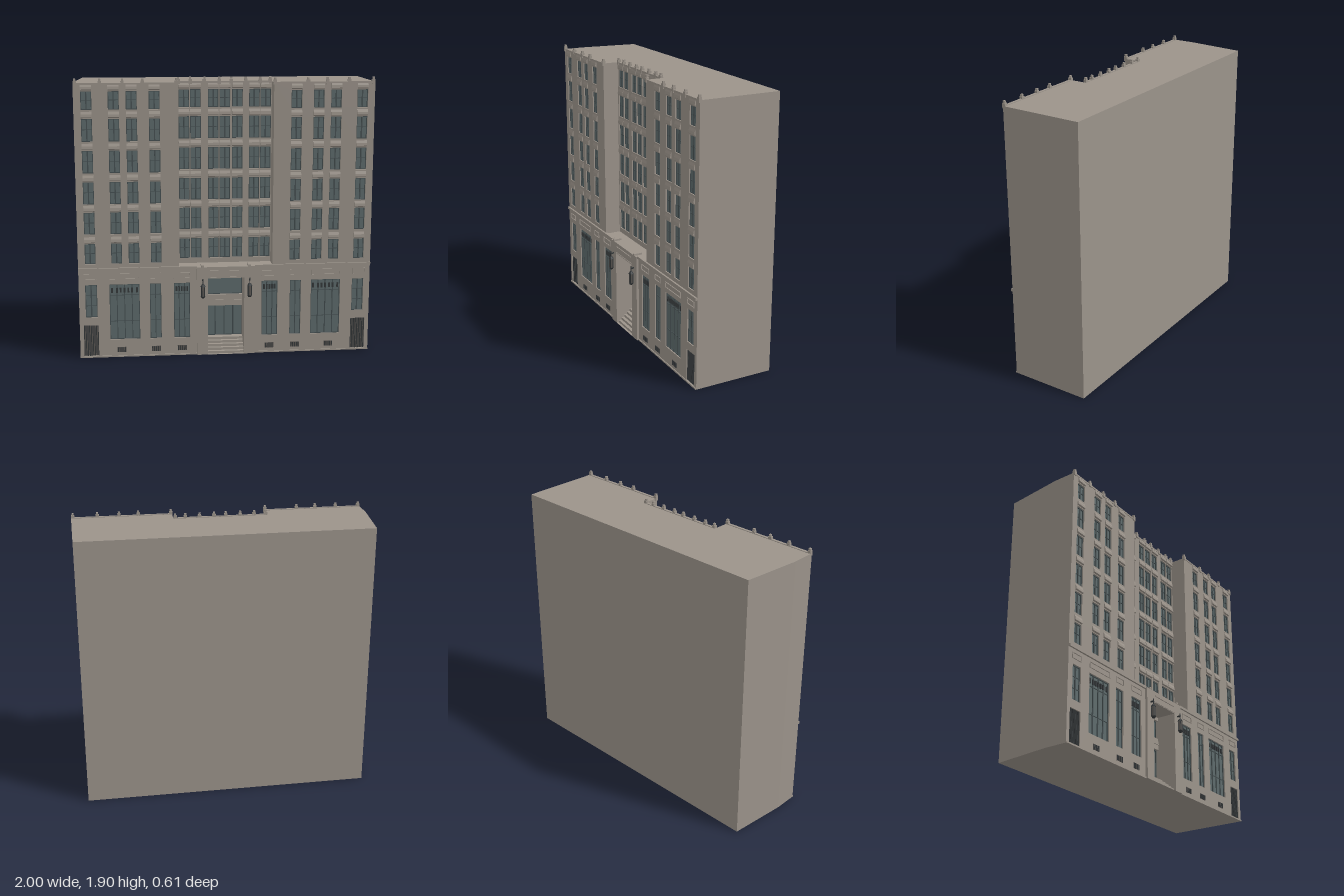
import * as THREE from 'three';
import { mergeGeometries } from 'three/addons/utils/BufferGeometryUtils.js';

const mat = (name, color) => Object.assign(new THREE.MeshStandardMaterial({ color }), { name });

export function createModel() {
  const model = new THREE.Group();
  model.name = 'officeBuilding';
  const stone = mat('stone', 0x9b938a);
  const glass = mat('glass', 0x5d6a6b);
  const frame = mat('windowFrame', 0x465052);
  const iron = mat('iron', 0x34383a);
  const grille = mat('grille', 0x5b5753);

  const add = (name, geometry, material) => {
    const mesh = new THREE.Mesh(geometry, material);
    mesh.name = name;
    model.add(mesh);
    return mesh;
  };
  // Box given by its lower and upper limits on each axis
  const box = (x0, x1, y0, y1, z0, z1) =>
    new THREE.BoxGeometry(x1 - x0, y1 - y0, z1 - z0)
      .translate((x0 + x1) / 2, (y0 + y1) / 2, (z0 + z1) / 2);
  const boxes = (name, list, material) =>
    add(name, mergeGeometries(list.map((b) => box(...b))), material);
  const rectPoints = ([x0, x1, y0, y1]) =>
    [[x0, y0], [x1, y0], [x1, y1], [x0, y1]].map((p) => new THREE.Vector2(...p));

  const TOP = 1.87, MID = 0.625, FRONT = 0.25, INNER = 0.14, SKIN = 0.02;

  // Building mass: footprints extruded upwards, with a notch in the front
  function mass(name, notchX, notchZ, y0, y1) {
    const f = FRONT - SKIN;
    const outline = [[-0.96, -0.305], [1, -0.305], [1, f], [notchX, f], [notchX, notchZ],
      [-notchX, notchZ], [-notchX, f], [-1, f], [-1, 0.09]];
    const shape = new THREE.Shape(outline.map(([x, z]) => new THREE.Vector2(x, -z)));
    const geo = new THREE.ExtrudeGeometry(shape, { depth: y1 - y0, bevelEnabled: false });
    add(name, geo.rotateX(-Math.PI / 2).translate(0, y0, 0), stone);
  }
  mass('lowerMass', 0.125, 0.1, 0, MID);
  mass('upperMass', 0.32, INNER - SKIN, MID, TOP);

  // Wall skin with window openings
  function wall(name, rect, holes, z, depth = SKIN) {
    const shape = new THREE.Shape(rectPoints(rect));
    shape.holes = holes.map((h) => new THREE.Path(rectPoints(h)));
    const geo = new THREE.ExtrudeGeometry(shape, { depth, bevelEnabled: false });
    add(name, geo.translate(0, 0, z - depth), stone);
  }

  // Glazing behind the openings: panes, outer frame and glazing bars
  function glaze(name, openings, z, cols, rowCuts, thick = 0.008) {
    const panes = [], bars = [];
    const t = 0.005, zb = z - 0.018, zf = z - 0.008;
    for (const [x0, x1, y0, y1] of openings) {
      panes.push([x0, x1, y0, y1, z - 0.0195, z - 0.015]);
      bars.push([x0, x0 + t, y0, y1, zb, zf], [x1 - t, x1, y0, y1, zb, zf],
        [x0, x1, y0, y0 + t, zb, zf], [x0, x1, y1 - t, y1, zb, zf]);
      for (let i = 1; i < cols; i++) {
        const x = x0 + ((x1 - x0) * i) / cols;
        bars.push([x - thick / 2, x + thick / 2, y0, y1, zb, zf]);
      }
      for (const cut of rowCuts) {
        const y = y0 + (y1 - y0) * cut;
        bars.push([x0, x1, y - 0.002, y + 0.002, zb, zf - 0.002]);
      }
    }
    boxes(name + 'Glass', panes, glass);
    boxes(name + 'Frames', bars, frame);
  }

  // Sloping hoods over the upper windows
  function hoods(name, openings, z) {
    add(name, mergeGeometries(openings.map(([x0, x1, , y1]) => {
      const profile = new THREE.Shape([[0, 0.006], [0.009, 0.012], [0.007, 0.03], [0, 0.048]]
        .map((p) => new THREE.Vector2(...p)));
      const geo = new THREE.ExtrudeGeometry(profile, { depth: x1 - x0, bevelEnabled: false });
      return geo.rotateY(-Math.PI / 2).scale(1, 1, 1).translate(x1, y1, z);
    })), stone);
  }

  // Upper storeys
  const rows = [[0.66, 0.8], [0.865, 1.015], [1.07, 1.22], [1.28, 1.43], [1.49, 1.64], [1.7, 1.82]];
  const grid = (centres) => centres.flatMap((x) =>
    rows.map(([y0, y1]) => [x - 0.036, x + 0.036, y0, y1]));
  const wing = [0.473, 0.623, 0.74, 0.917];
  const sections = [
    ['leftWing', [0.32, 1], grid(wing), FRONT],
    ['rightWing', [-1, -0.32], grid(wing.map((x) => -x)), FRONT],
    ['centreBay', [-0.32, 0.32], grid([-0.273, -0.195, -0.075, 0.003, 0.088, 0.203, 0.28]), INNER],
  ];
  for (const [name, [x0, x1], openings, z] of sections) {
    wall(name + 'Wall', [x0, x1, MID, TOP], openings, z);
    glaze(name, openings, z, 2, [0.52]);
    hoods(name + 'Hoods', openings, z);
    boxes(name + 'Coping', [[x0, x1, TOP - 0.008, TOP + 0.004, z - 0.015, z + 0.004]], stone);
  }

  // Ground floor windows, panels, vents and service doors
  const mirror = (list, s) => list.map(([a, b, ...r]) => (s > 0 ? [a, b, ...r] : [-b, -a, ...r]));
  for (const s of [1, -1]) {
    const side = s > 0 ? 'left' : 'right';
    const small = mirror([[0.877, 0.957, 0.286, 0.515]], s);
    const large = mirror([[0.59, 0.794, 0.125, 0.515]], s);
    const narrow = mirror([[0.443, 0.52, 0.125, 0.515]], s);
    const medium = mirror([[0.247, 0.357, 0.125, 0.515]], s);
    const door = mirror([[0.873, 0.973, 0.01, 0.23]], s);
    wall(side + 'ShopWall', mirror([[0.2, 1, 0, MID]], s)[0],
      [...small, ...large, ...narrow, ...medium, ...door], FRONT);
    glaze(side + 'SmallWindow', small, FRONT, 2, [0.35, 0.68]);
    glaze(side + 'LargeWindow', large, FRONT, 4, [0.33, 0.8], 0.006);
    glaze(side + 'NarrowWindow', narrow, FRONT, 2, [0.33, 0.8], 0.005);
    glaze(side + 'MediumWindow', medium, FRONT, 3, [0.33, 0.8], 0.006);

    // Ornaments below the window heads
    const ornaments = [0.607, 0.641, 0.666, 0.692, 0.718, 0.743, 0.777, 0.265, 0.284, 0.302, 0.32, 0.339]
      .map((x) => [x - 0.006, x + 0.006, 0.455, 0.488, 0.234, 0.244]);
    boxes(side + 'WindowOrnaments', mirror(ornaments, s), iron);

    // Barred service door
    const [d] = door;
    boxes(side + 'ServiceDoor', [[...d, 0.231, 0.236]], grille);
    const bars = [];
    for (let i = 0; i <= 8; i++) {
      const x = d[0] + 0.003 + i * 0.01175;
      bars.push([x - 0.003, x + 0.003, 0.01, 0.23, 0.236, 0.244]);
    }
    boxes(side + 'DoorBars', bars, iron);

    // Relief panels with a raised border
    const panels = mirror([[0.877, 0.965], [0.59, 0.794], [0.443, 0.52], [0.247, 0.357]], s);
    boxes(side + 'ReliefPanels', panels.flatMap(([a, b]) => [
      [a, b, 0.55, 0.554, FRONT, 0.256], [a, b, 0.586, 0.59, FRONT, 0.256],
      [a, a + 0.004, 0.554, 0.586, FRONT, 0.256], [b - 0.004, b, 0.554, 0.586, FRONT, 0.256],
    ]), stone);

    // Basement vents
    const vents = mirror([[0.687, 0.748], [0.449, 0.513], [0.27, 0.334]], s);
    boxes(side + 'Vents', vents.map(([a, b]) => [a, b, 0.033, 0.07, 0.249, 0.252]), grille);
    boxes(side + 'VentBars', vents.flatMap(([a, b]) => [0, 1, 2, 3, 4].map((i) => {
      const x = a + 0.006 + ((b - a - 0.012) * i) / 4;
      return [x - 0.003, x + 0.003, 0.035, 0.068, 0.251, 0.255];
    })), iron);

    // Storey cornice and plinth
    boxes(side + 'Cornice', mirror([[0.2, 1, 0.615, 0.632, 0.24, 0.262]], s), stone);
    boxes(side + 'Plinth', mirror([[0.2, 1, 0, 0.01, 0.24, 0.256]], s), stone);

    // Lantern on a wall bracket
    const lantern = new THREE.Group();
    lantern.name = side + 'Lantern';
    lantern.position.set(s * 0.16, 0, 0.288);
    const cyl = (name, r0, r1, y0, y1, m) => {
      const geo = new THREE.CylinderGeometry(r1, r0, y1 - y0, 8).translate(0, (y0 + y1) / 2, 0);
      const mesh = new THREE.Mesh(geo, m);
      mesh.name = name;
      lantern.add(mesh);
    };
    cyl('lanternBase', 0.01, 0.017, 0.415, 0.428, iron);
    cyl('lanternGlass', 0.013, 0.013, 0.428, 0.495, grille);
    cyl('lanternCap', 0.018, 0.008, 0.495, 0.512, iron);
    cyl('lanternStem', 0.003, 0.003, 0.512, 0.55, iron);
    const posts = [0, 1, 2, 3].map((i) => box(-0.003, 0.003, 0.425, 0.5, 0.011, 0.016)
      .rotateY(Math.PI / 4 + (i * Math.PI) / 2));
    posts.push(box(-0.004, 0.004, 0.53, 0.538, -0.025, 0.003));
    const cage = new THREE.Mesh(mergeGeometries(posts), iron);
    cage.name = 'lanternCage';
    lantern.add(cage);
    model.add(lantern);
    boxes(side + 'PortalBracket', [[s * 0.16 - 0.01, s * 0.16 + 0.01, MID, 0.638, 0.21, 0.268]], stone);
  }

  // Entrance portal, lintel and canopy
  wall('portal', [-0.2, 0.2, 0, MID], [[-0.125, 0.125, 0.001, 0.545]], 0.266, 0.036);
  boxes('portalLintel', [[-0.125, 0.125, 0.545, MID, 0.1, 0.231]], stone);
  boxes('portalMoulding', [[-0.12, 0.12, 0.548, 0.554, 0.26, 0.27],
    [-0.11, 0.11, 0.59, 0.6, 0.26, 0.272]], stone);

  // Entrance steps
  const steps = [];
  for (let i = 0; i < 5; i++) steps.push([-0.125, 0.125, i * 0.018, (i + 1) * 0.018, 0.1, 0.25 - i * 0.022]);
  boxes('entranceSteps', steps, stone);

  // Entrance doors with a fanlight above
  glaze('entranceDoors', [[-0.125, 0.125, 0.09, 0.31]], 0.122, 4, []);
  glaze('entranceFanlight', [[-0.125, 0.125, 0.39, 0.52]], 0.122, 1, []);
  boxes('entrancePanels', [[-0.125, 0.125, 0.31, 0.39, 0.1, 0.13], [-0.125, 0.125, 0.345, 0.352, 0.13, 0.135],
    [-0.125, 0.125, 0.52, 0.545, 0.1, 0.13]], stone);

  // Roofline pinnacles
  const pinnacles = (name, xs, z) => boxes(name, xs.flatMap((x) => [
    [x - 0.011, x + 0.011, 1.855, 1.888, z - 0.014, z + 0.007],
    [x - 0.007, x + 0.007, 1.888, 1.902, z - 0.011, z + 0.004],
  ]), stone);
  pinnacles('wingPinnacles', [-0.988, -0.827, -0.68, -0.548, -0.326, 0.326, 0.548, 0.678, 0.824, 0.988], FRONT);
  pinnacles('centrePinnacles', [-0.309, -0.23, -0.134, -0.035, 0.045, 0.144, 0.24, 0.309], INNER);

  return model;
}
